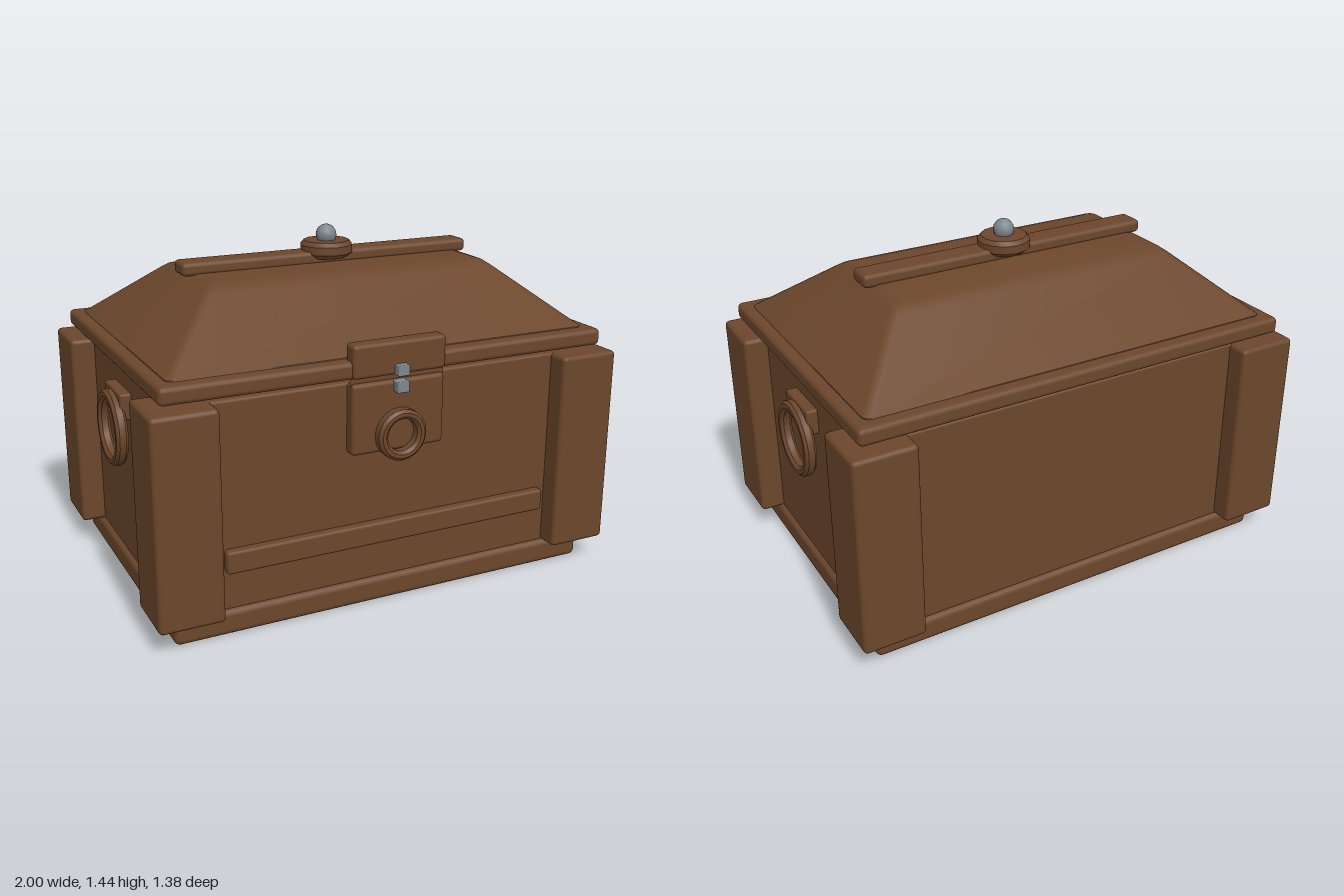
import * as THREE from 'three';
import { RoundedBoxGeometry } from 'three/addons/geometries/RoundedBoxGeometry.js';
import { toCreasedNormals } from 'three/addons/utils/BufferGeometryUtils.js';

// Hipped solid from rounded-rectangle loops: rows of [y, halfX, halfZ, cornerRadius]
function loopSolid(rows) {
  const pos = [], index = [], steps = 3, n = 4 * (steps + 1);
  for (const [y, hx, hz, r] of rows) {
    for (let c = 0; c < 4; c++) {
      const sx = c === 0 || c === 3 ? 1 : -1, sz = c < 2 ? 1 : -1;
      for (let s = 0; s <= steps; s++) {
        const a = (c + s / steps) * Math.PI / 2;
        pos.push(sx * (hx - r) + r * Math.cos(a), y, sz * (hz - r) + r * Math.sin(a));
      }
    }
  }
  for (let k = 0; k < rows.length - 1; k++) {
    for (let i = 0; i < n; i++) {
      const a = k * n + i, b = k * n + (i + 1) % n;
      index.push(a, a + n, b, b, a + n, b + n);
    }
  }
  const top = (rows.length - 1) * n;
  for (let i = 1; i < n - 1; i++) {
    index.push(top, top + i + 1, top + i);
    index.push(0, i, i + 1);
  }
  const g = new THREE.BufferGeometry();
  g.setAttribute('position', new THREE.Float32BufferAttribute(pos, 3));
  g.setIndex(index);
  return toCreasedNormals(g, 0.5);
}

// Flat ring with bevelled edges, axis along y
function ringGeometry(inner, outer, depth, sides) {
  const h = depth / 2, b = 0.012;
  const profile = [
    [inner, -h + b], [inner + b, -h], [outer - b, -h], [outer, -h + b],
    [outer, h - b], [outer - b, h], [inner + b, h], [inner, h - b], [inner, -h + b],
  ].map(([r, y]) => new THREE.Vector2(r, y));
  return toCreasedNormals(new THREE.LatheGeometry(profile, sides), 0.5);
}

export function createModel() {
  const chest = new THREE.Group();
  chest.name = 'chest';
  const wood = new THREE.MeshStandardMaterial({ color: 0x6b462b });
  wood.name = 'brown wood';
  const metal = new THREE.MeshStandardMaterial({ color: 0x7d878e });
  metal.name = 'grey metal';

  function add(name, geometry, material = wood, parent = chest) {
    const mesh = new THREE.Mesh(geometry, material);
    mesh.name = name;
    parent.add(mesh);
    return mesh;
  }
  // Bevelled box given by its limits
  function block(name, x0, x1, y0, y1, z0, z1, r = 0.015, material = wood) {
    const g = new RoundedBoxGeometry(x1 - x0, y1 - y0, z1 - z0, 2, r);
    g.translate((x0 + x1) / 2, (y0 + y1) / 2, (z0 + z1) / 2);
    return add(name, g, material);
  }

  // Box: plinth, body, front rail and corner posts
  block('base', -0.92, 0.92, 0.005, 0.11, -0.62, 0.62, 0.025);
  block('body', -0.9, 0.9, 0.1, 0.945, -0.6, 0.6, 0.012);
  block('frontRail', -0.71, 0.71, 0.265, 0.357, 0.58, 0.635, 0.012);
  for (const sx of [-1, 1]) {
    for (const sz of [-1, 1]) {
      const post = block('cornerPost', -0.13, 0.13, 0.105, 0.945, -0.13, 0.13, 0.018);
      post.position.set(sx * 0.87, 0, sz * 0.56);
    }
  }

  // Lid: rim, hipped roof, ridge bar
  block('lidRim', -0.95, 0.95, 0.965, 1.035, -0.645, 0.645, 0.02);
  add('lidRoof', loopSolid([
    [1.02, 0.905, 0.592, 0.03],
    [1.038, 0.9, 0.586, 0.03],
    [1.262, 0.645, 0.29, 0.03],
    [1.283, 0.617, 0.262, 0.03],
    [1.292, 0.585, 0.23, 0.03],
  ]));
  block('ridgeBar', -0.65, 0.65, 1.283, 1.338, -0.057, 0.057, 0.018);

  // Knob: bevelled disc with a metal ball
  const disc = [[0, 1.305], [0.085, 1.305], [0.11, 1.325], [0.11, 1.358], [0.095, 1.375], [0, 1.375]]
    .map(([r, y]) => new THREE.Vector2(r, y));
  add('knobDisc', toCreasedNormals(new THREE.LatheGeometry(disc, 14), 0.5));
  const ball = add('knobBall', new THREE.SphereGeometry(0.044, 10, 8), metal);
  ball.position.y = 1.397;

  // Latch: lid plate, body plate, lock ring and metal clasp
  block('latchLidPlate', -0.2, 0.2, 0.966, 1.1, 0.585, 0.657, 0.016);
  block('latchBodyPlate', -0.2, 0.2, 0.66, 0.945, 0.585, 0.65, 0.016);
  const join = add('latchJoint', new THREE.PlaneGeometry(0.4, 0.06));
  join.position.set(0, 0.955, 0.63);
  const lock = add('lockRing', ringGeometry(0.065, 0.104, 0.055, 20));
  lock.rotation.x = Math.PI / 2;
  lock.position.set(0, 0.73, 0.667);
  block('claspUpper', -0.025, 0.025, 0.967, 1.01, 0.645, 0.687, 0.004, metal);
  block('claspLower', -0.025, 0.025, 0.9, 0.945, 0.64, 0.685, 0.004, metal);

  // Side handles: mount plate and hanging ring
  for (const s of [-1, 1]) {
    const handle = new THREE.Group();
    handle.name = s > 0 ? 'leftHandle' : 'rightHandle';
    handle.position.set(s * 0.9, 0, 0);
    chest.add(handle);
    const mount = add('handleMount', new RoundedBoxGeometry(0.06, 0.107, 0.224, 2, 0.008), wood, handle);
    mount.position.set(s * 0.015, 0.802, 0);
    const ring = add('handleRing', ringGeometry(0.117, 0.158, 0.05, 20), wood, handle);
    ring.rotation.z = Math.PI / 2;
    ring.position.set(s * 0.052, 0.69, 0);
  }
  return chest;
}
